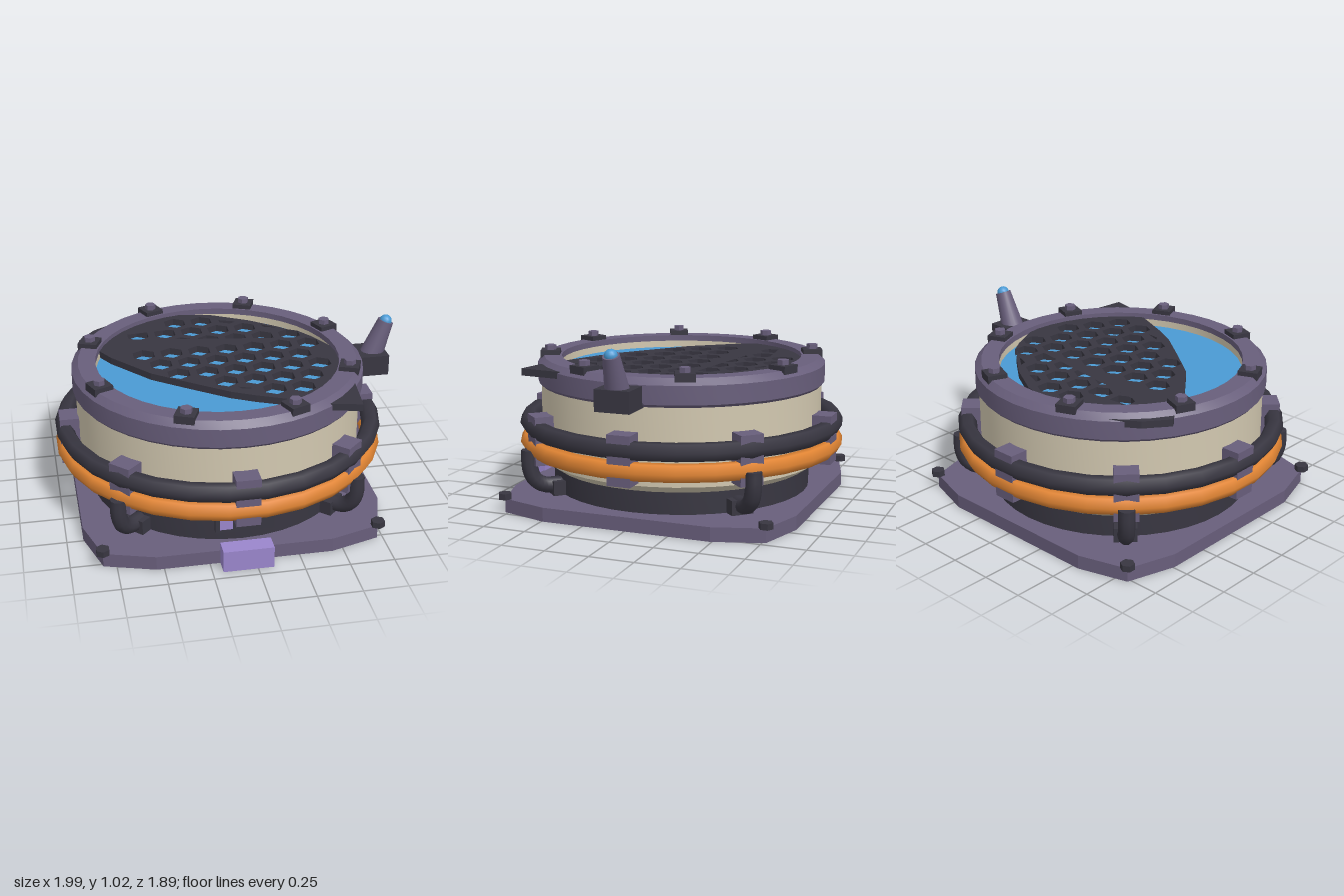
import * as THREE from 'three';
import { toCreasedNormals } from 'three/addons/utils/BufferGeometryUtils.js';

const mat = (name, color) => {
  const m = new THREE.MeshStandardMaterial({ color });
  m.name = name;
  return m;
};

export function createModel() {
  const purple = mat('dusty purple', 0x685e7b);
  const dark = mat('charcoal', 0x383641);
  const beige = mat('warm beige', 0xd2c8b0);
  const orange = mat('orange', 0xe08433);
  const blue = mat('glass blue', 0x4a9ad4);
  const lilac = mat('lilac', 0x9a86cc);

  const group = new THREE.Group();
  group.name = 'portholeDevice';
  // Everything is laid out around the drum axis, which sits left of centre
  const body = new THREE.Group();
  body.name = 'body';
  body.position.x = -0.052;
  group.add(body);

  const add = (name, geo, material, x = 0, y = 0, z = 0, parent = body) => {
    const mesh = new THREE.Mesh(geo, material);
    mesh.name = name;
    mesh.position.set(x, y, z);
    parent.add(mesh);
    return mesh;
  };
  const box = (name, w, h, d, material, x, y, z, parent) =>
    add(name, new THREE.BoxGeometry(w, h, d), material, x, y, z, parent);
  const lathe = (name, pts, material) => add(name, toCreasedNormals(
    new THREE.LatheGeometry(pts.map(p => new THREE.Vector2(...p)), 40), 0.4), material);
  // Extrude an x/z outline downwards from y = 0
  const slab = (shape, depth) => new THREE.ExtrudeGeometry(shape,
    { depth, bevelEnabled: false }).rotateX(Math.PI / 2);
  const outline = pts => pts.map(p => new THREE.Vector2(...p));
  // Group turned about the drum axis; its +z points outwards
  const spoke = (name, angle) => {
    const g = new THREE.Group();
    g.name = name;
    g.rotation.y = angle;
    body.add(g);
    return g;
  };

  // Base plate: square with softened corners
  const plate = [];
  for (let i = 0; i < 4; i++) {
    const c = Math.round(Math.cos(i * Math.PI / 2)), s = Math.round(Math.sin(i * Math.PI / 2));
    for (const [x, z] of [[0.855, 0.49], [0.77, 0.77], [0.49, 0.855]]) {
      plate.push([x * c - z * s, x * s + z * c]);
    }
  }
  add('basePlate', slab(new THREE.Shape(outline(plate)), 0.08), purple, 0, 0.08, 0);
  for (const x of [-0.77, 0.77]) for (const z of [-0.77, 0.77]) {
    add('baseBolt', toCreasedNormals(new THREE.CylinderGeometry(0.04, 0.04, 0.035, 6), 0.4),
      dark, x, 0.0975, z);
  }
  box('frontLatch', 0.28, 0.125, 0.1, lilac, 0, 0.0625, 0.895);

  // Drum
  lathe('drumFoot', [[0.755, 0.07], [0.755, 0.215]], dark);
  lathe('drumBody', [[0.755, 0.205], [0.82, 0.25], [0.82, 0.7]], beige);
  lathe('collar', [[0.7, 0.685], [0.825, 0.685], [0.838, 0.7], [0.838, 0.805], [0.8, 0.84],
    [0.7, 0.84], [0.7, 0.805]], purple);
  lathe('innerLiner', [[0.7, 0.805], [0.7, 0.74]], beige);
  add('glass', new THREE.CircleGeometry(0.71, 40).rotateX(-Math.PI / 2), blue, 0, 0.765, 0);

  // Leaf-shaped grille with hexagonal holes
  const grille = new THREE.Shape(outline([
    [-0.76, -0.42], [-0.652, -0.235], [-0.6, -0.14], [-0.4, 0.11], [-0.21, 0.26], [0, 0.42],
    [0.13, 0.49], [0.35, 0.59], [0.49, 0.66], [0.67, 0.7], [0.695, 0.46], [0.71, 0.1],
    [0.69, -0.07], [0.61, -0.23], [0.45, -0.4], [0.29, -0.53], [0.08, -0.65], [-0.13, -0.69],
    [-0.4, -0.72], [-0.66, -0.55]]));
  const rows = [[-4, -1, 0], [-3, -3, 1], [-2, -3, 3], [-1, -3, 3], [0, -2, 3], [1, -2, 3],
    [2, 0, 3], [3, 1, 2]];
  for (const [k, from, to] of rows) for (let i = from; i <= to; i++) {
    const cx = (i + (k % 2 ? 0.5 : 0)) * 0.1635, cz = k * 0.1417;
    const hex = [];
    for (let j = 0; j < 6; j++) {
      const a = Math.PI / 6 + j * Math.PI / 3;
      hex.push([cx + 0.07 * Math.cos(a), cz + 0.07 * Math.sin(a)]);
    }
    grille.holes.push(new THREE.Path(outline(hex)));
  }
  // Cut-off holes near the edge
  for (const pts of [
    [[0.11, -0.565], [0.21, -0.525], [0.17, -0.5], [0.11, -0.53]],
    [[0.35, -0.455], [0.44, -0.385], [0.36, -0.415]],
    [[0.05, 0.365], [0.14, 0.4], [0.07, 0.395]]]) grille.holes.push(new THREE.Path(outline(pts)));
  add('grille', slab(grille, 0.04), dark, 0, 0.815, 0);

  // Hoops around the drum
  for (const [name, y, m] of [['upperHoop', 0.463, dark], ['lowerHoop', 0.35, orange]]) {
    const hoop = new THREE.TorusGeometry(0.898, 0.053, 6, 28).rotateX(Math.PI / 2);
    add(name, hoop.rotateY(Math.PI / 28), m, 0, y, 0);
  }

  // Hoop clips and rim bolts, eight of each
  for (let i = 0; i < 8; i++) {
    const a = i * Math.PI / 4;
    box('hoopClip', 0.135, 0.28, 0.125, purple, 0, 0.405, 0.8625, spoke('clip', a));
    const rim = spoke('rimBolt', a + Math.PI / 8);
    box('boltPad', 0.112, 0.045, 0.112, dark, 0, 0.843, 0.765, rim);
    add('boltHead', toCreasedNormals(new THREE.CylinderGeometry(0.033, 0.033, 0.03, 6), 0.4),
      purple, 0, 0.878, 0.765, rim);
  }

  // Four bent pipes between the lower hoop and the foot
  const bend = new THREE.CatmullRomCurve3([[0.35, 0.94], [0.25, 0.94], [0.18, 0.915],
    [0.14, 0.86], [0.13, 0.76]].map(([y, z]) => new THREE.Vector3(0, y, z)));
  for (let i = 0; i < 4; i++) {
    const g = spoke('pipe', Math.PI / 4 + i * Math.PI / 2);
    add('bentPipe', new THREE.TubeGeometry(bend, 12, 0.046, 10), dark, 0, 0, 0, g);
    add('pipeCap', new THREE.CircleGeometry(0.046, 10).rotateX(-Math.PI / 2), dark, 0, 0.35, 0.94, g);
    box('pipeSocket', 0.13, 0.085, 0.1, dark, 0, 0.12, 0.77, g);
  }

  // Front control panel
  box('controlPanel', 0.325, 0.125, 0.04, dark, 0, 0.24, 0.813);
  box('panelButton', 0.07, 0.09, 0.008, lilac, -0.105, 0.245, 0.836);
  box('panelSlot', 0.095, 0.02, 0.006, beige, 0.022, 0.225, 0.835);
  box('panelSlot', 0.095, 0.02, 0.006, beige, 0.065, 0.275, 0.835);

  // Side antenna on its bracket
  box('antennaBracket', 0.19, 0.12, 0.2, dark, 0.855, 0.74, 0, group);
  const antenna = new THREE.Group();
  antenna.name = 'antenna';
  antenna.position.set(0.87, 0.775, 0);
  antenna.rotation.z = -0.36;
  group.add(antenna);
  add('antennaStem', toCreasedNormals(new THREE.CylinderGeometry(0.046, 0.068, 0.22, 16), 0.5),
    purple, 0, 0.11, 0, antenna);
  add('antennaTip', new THREE.SphereGeometry(0.036, 14, 10), blue, 0, 0.22, 0, antenna);

  return group;
}
